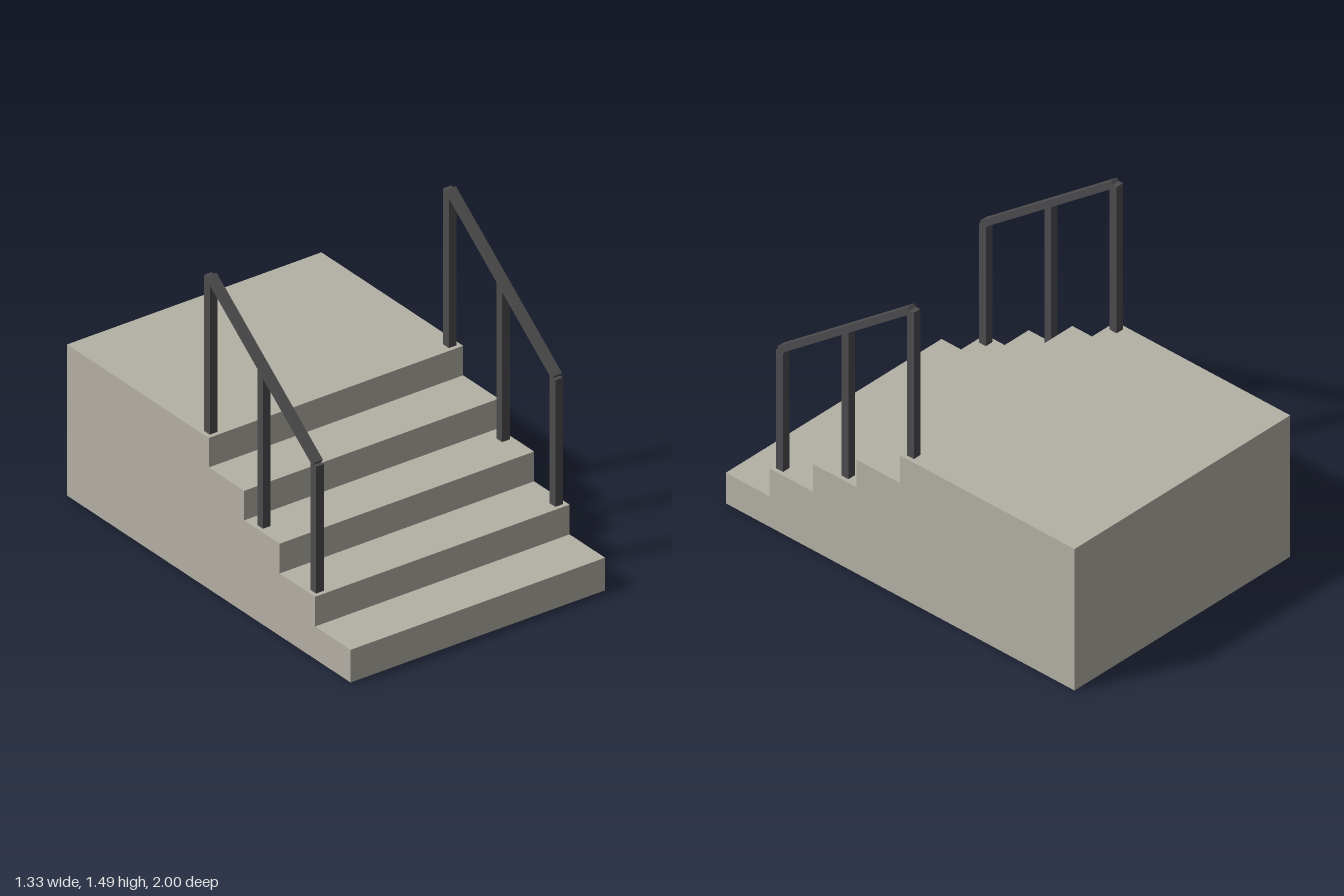
import * as THREE from 'three';

const WIDTH = 1.33;
const BAR = 0.04;
const stone = new THREE.MeshStandardMaterial({ name: 'warm grey stone', color: 0xb4b0a5 });
const metal = new THREE.MeshStandardMaterial({ name: 'dark grey metal', color: 0x4c4c4e });

function addBox(parent, name, w, h, d, x, y, z) {
  const mesh = new THREE.Mesh(new THREE.BoxGeometry(w, h, d), metal);
  mesh.name = name;
  mesh.position.set(x, y, z);
  parent.add(mesh);
  return mesh;
}

// Stepped side profile (shape x = -z), extruded across the width
function createSteps() {
  const heights = [0.157, 0.3, 0.443, 0.585, 0.727];
  const shape = new THREE.Shape();
  shape.moveTo(-1, 0);
  heights.forEach((h, i) => {
    const u = -1 + i * 0.25;
    shape.lineTo(u, h);
    shape.lineTo(i < 4 ? u + 0.25 : 1, h);
  });
  shape.lineTo(1, 0);
  const geo = new THREE.ExtrudeGeometry(shape, { depth: WIDTH, bevelEnabled: false });
  geo.translate(0, 0, -WIDTH / 2);
  geo.rotateY(Math.PI / 2);
  const mesh = new THREE.Mesh(geo, stone);
  mesh.name = 'stepsAndLanding';
  return mesh;
}

// Three posts and a sloping handrail
function createRailing(name, x) {
  const railing = new THREE.Group();
  railing.name = name;
  const posts = [
    ['frontPost', 0.71, 0.3, 0.91],
    ['middlePost', 0.335, 0.443, 1.195],
    ['backPost', -0.04, 0.727, 1.478],
  ];
  for (const [label, z, bottom, top] of posts) {
    addBox(railing, label, BAR, top - bottom, BAR, x, (top + bottom) / 2, z);
  }
  const [z0, y0, z1, y1] = [0.715, 0.915, -0.035, 1.478];
  const rail = addBox(railing, 'handrail', BAR, 0.032, Math.hypot(z1 - z0, y1 - y0),
    x, (y0 + y1) / 2, (z0 + z1) / 2);
  rail.rotation.x = Math.atan2(y1 - y0, z0 - z1);
  return railing;
}

export function createModel() {
  const model = new THREE.Group();
  model.name = 'entranceSteps';
  model.add(createSteps(), createRailing('leftRailing', 0.625), createRailing('rightRailing', -0.625));
  return model;
}
